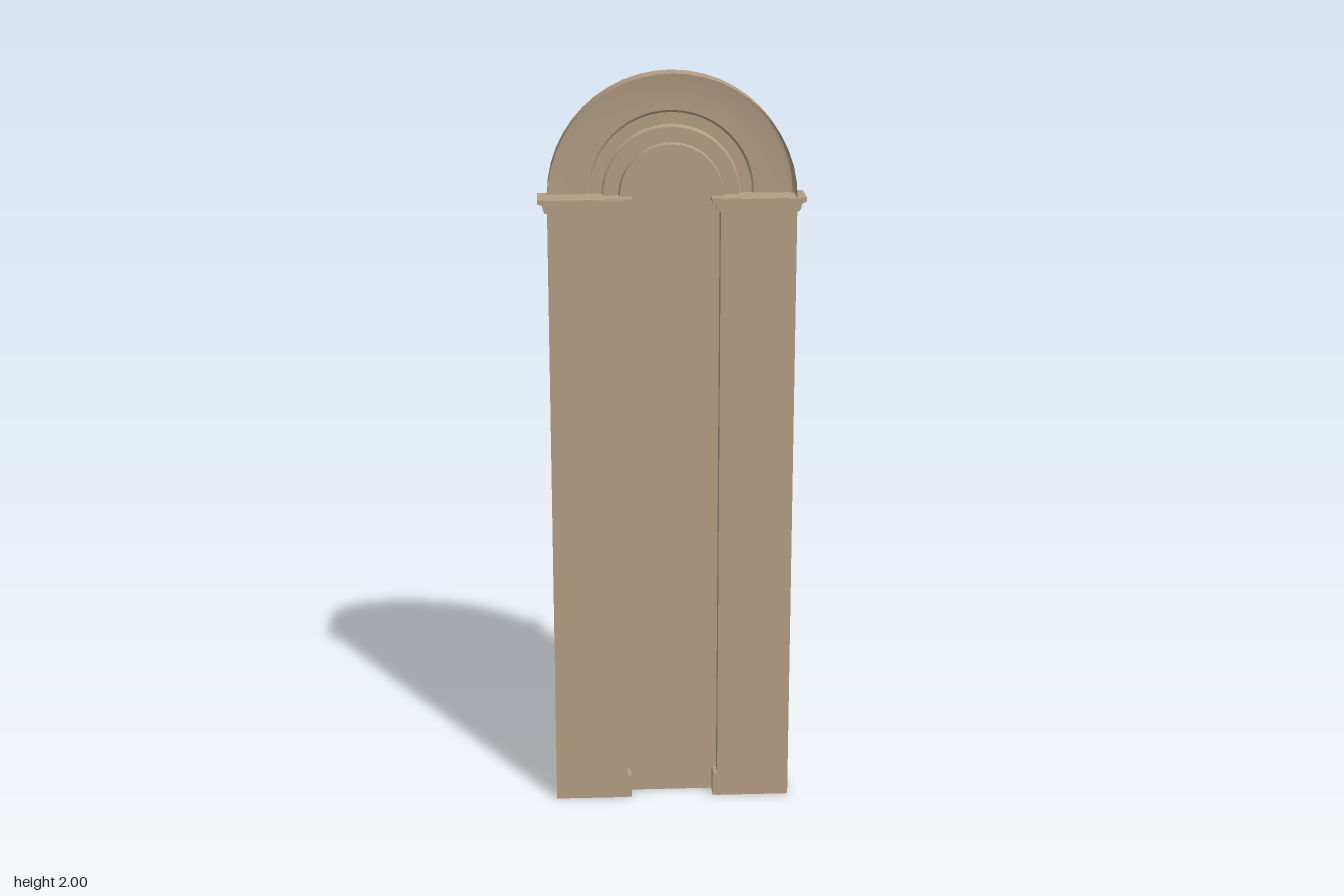
import * as THREE from 'three';
import { toCreasedNormals } from 'three/addons/utils/BufferGeometryUtils.js';

const stone = new THREE.MeshStandardMaterial({ color: 0xb39d84, side: THREE.DoubleSide });
const SPRING = 1.68; // height where the arch starts

function add(group, name, geometry) {
  const mesh = new THREE.Mesh(geometry, stone);
  mesh.name = name;
  group.add(mesh);
  return mesh;
}

// Stepped plan of a pier: the inner edge steps back toward the panel.
function pierPlan(front, outer, inner, back) {
  return [
    [0.32 + outer, front], [0.32 + outer, -0.04 - back],
    [0.192 - inner, -0.04 - back], [0.192 - inner, -0.026 - back],
    [0.163 - inner, -0.026 - back], [0.163 - inner, -0.012 - back],
    [0.124 - inner, -0.012 - back], [0.124 - inner, front],
  ].map(([x, z]) => new THREE.Vector2(x, z));
}

// Joins plans stacked in height; each layer is [y, outer, inner, back].
function loftPier(front, layers, side) {
  const rings = layers.map(([y, o, i, b]) => ({ y, plan: pierPlan(front, o, i, b) }));
  const pos = [];
  const put = (ring, k) => pos.push(side * ring.plan[k].x, ring.y, ring.plan[k].y);
  const tri = (...corners) => (side > 0 ? corners : corners.reverse()).forEach(([r, k]) => put(r, k));
  for (let j = 0; j < rings.length - 1; j++) {
    const a = rings[j], b = rings[j + 1], n = a.plan.length;
    for (let k = 0; k < n; k++) {
      const m = (k + 1) % n;
      tri([a, k], [b, m], [a, m]);
      tri([a, k], [b, k], [b, m]);
    }
  }
  // caps
  [[rings[0], -1], [rings[rings.length - 1], 1]].forEach(([ring, dir]) => {
    for (const face of THREE.ShapeUtils.triangulateShape(ring.plan, [])) {
      const [a, b, c] = face.map((k) => ring.plan[k]);
      const up = (b.y - a.y) * (c.x - a.x) - (b.x - a.x) * (c.y - a.y);
      const order = up * dir > 0 ? face : [face[0], face[2], face[1]];
      tri(...order.map((k) => [ring, k]));
    }
  });
  const geometry = new THREE.BufferGeometry();
  geometry.setAttribute('position', new THREE.Float32BufferAttribute(pos, 3));
  geometry.computeVertexNormals();
  return geometry;
}

// Round-headed outline, used for the panel and its frames.
function archOutline(Type, half, bottom) {
  const path = new Type();
  path.moveTo(-half, bottom);
  path.lineTo(half, bottom);
  path.lineTo(half, SPRING);
  path.absarc(0, SPRING, half, 0, Math.PI, false);
  path.lineTo(-half, bottom);
  return path;
}

function archSlab(half, bottom, holeHalf, holeBottom, z0, z1) {
  const shape = archOutline(THREE.Shape, half, bottom);
  if (holeHalf) shape.holes.push(archOutline(THREE.Path, holeHalf, holeBottom));
  const geometry = new THREE.ExtrudeGeometry(shape, { depth: z1 - z0, bevelEnabled: false, curveSegments: 20 });
  geometry.translate(0, 0, z0);
  return toCreasedNormals(geometry, 0.5);
}

export function createModel() {
  const model = new THREE.Group();
  model.name = 'archedNiche';

  // Piers with plinths and moulded caps, mirrored
  for (const side of [1, -1]) {
    const pier = new THREE.Group();
    pier.name = side > 0 ? 'leftPier' : 'rightPier';
    add(pier, 'pierShaft', loftPier(0.05, [[0, 0, 0, 0], [1.679, 0, 0, 0]], side));
    add(pier, 'plinth', loftPier(0.049, [[0, 0, 0.012, 0.01], [0.06, 0, 0.012, 0.01], [0.065, 0, 0.008, 0.006]], side));
    add(pier, 'pierCap', loftPier(0.045, [
      [1.645, 0.006, 0.006, 0.004], [1.652, 0.01, 0.01, 0.007],
      [1.665, 0.013, 0.012, 0.009], [1.67, 0.025, 0.022, 0.014], [1.68, 0.025, 0.022, 0.014],
    ], side));
    model.add(pier);
  }

  // Arch shell, open on the wall side, turned from its stepped section
  const section = [
    [0.132, 0.005], [0.136, -0.012], [0.175, -0.012], [0.175, -0.029], [0.18, -0.034],
    [0.21, -0.034], [0.216, -0.029], [0.306, -0.029], [0.315, -0.026], [0.32, -0.02], [0.32, 0.052],
  ].map(([r, z]) => new THREE.Vector2(r, z));
  const arch = new THREE.LatheGeometry(section, 24, Math.PI / 2, Math.PI);
  arch.rotateX(Math.PI / 2);
  add(model, 'arch', toCreasedNormals(arch, 0.45)).position.y = SPRING;

  // Round-headed panel with a two-step frame
  add(model, 'panel', archSlab(0.133, 0.004, 0, 0, 0, 0.006));
  add(model, 'outerFrame', archSlab(0.133, 0.01, 0.095, 0.05, -0.007, 0));
  add(model, 'innerFrame', archSlab(0.096, 0.03, 0.078, 0.065, -0.004, 0));

  // Sill between the plinths
  const sill = add(model, 'sill', new THREE.BoxGeometry(0.24, 0.05, 0.022));
  sill.position.set(0, 0.025, -0.006);

  return model;
}
